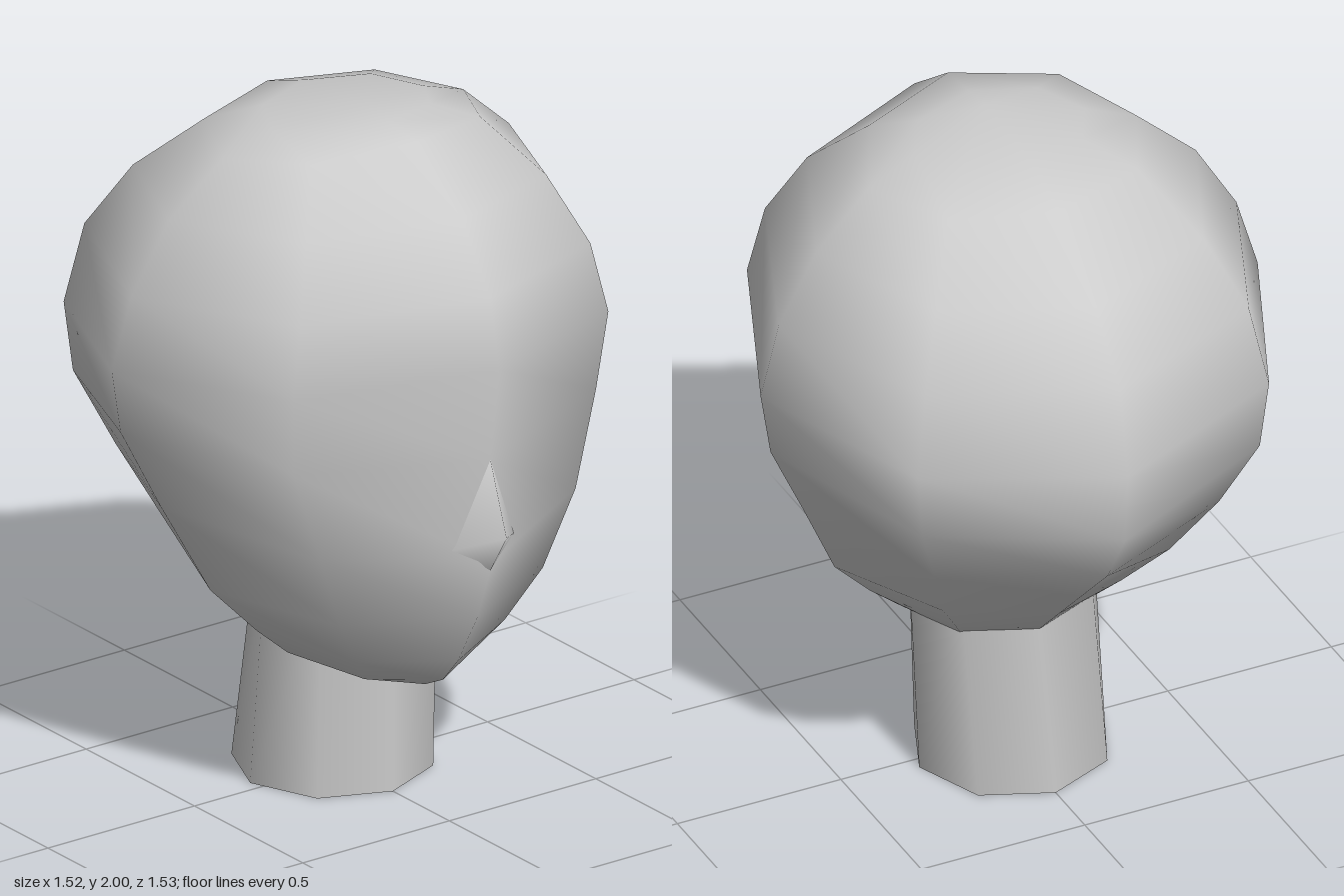
import * as THREE from 'three';

const material = new THREE.MeshStandardMaterial({ color: 0xcccccc });

function meshFrom(name, positions, indices) {
  const geometry = new THREE.BufferGeometry();
  geometry.setAttribute('position', new THREE.Float32BufferAttribute(positions, 3));
  geometry.setIndex(indices);
  geometry.computeVertexNormals();
  const mesh = new THREE.Mesh(geometry, material);
  mesh.name = name;
  return mesh;
}

// Eight-sided rings, top to bottom: front z, y | side x, y, z | back z, y
const RINGS = [
  [0.22, 1.987, 0.26, 1.965, 0.03, -0.17, 1.98],
  [0.35, 1.97, 0.41, 1.91, 0.01, -0.34, 1.92],
  [0.56, 1.81, 0.58, 1.76, -0.01, -0.57, 1.74],
  [0.69, 1.62, 0.70, 1.56, -0.02, -0.72, 1.56],
  [0.73, 1.42, 0.76, 1.35, -0.03, -0.77, 1.30],
  [0.69, 1.14, 0.73, 1.16, -0.03, -0.75, 1.08],
  [0.70, 0.84, 0.615, 0.92, 0.0, -0.64, 0.90],
  [0.63, 0.65, 0.49, 0.66, 0.06, -0.48, 0.74],
  [0.54, 0.49, 0.36, 0.52, 0.10, -0.34, 0.60],
  [0.47, 0.41, 0.27, 0.44, 0.12, -0.22, 0.48],
  [0.39, 0.37, 0.13, 0.40, 0.14, -0.08, 0.45],
];
const SIDES = 8;

function buildHead() {
  const positions = [];
  const indices = [];
  for (const [frontZ, frontY, sideX, sideY, sideZ, backZ, backY] of RINGS) {
    for (let j = 0; j < SIDES; j++) {
      const angle = (j / SIDES) * Math.PI * 2;
      const c = Math.cos(angle);
      const endZ = c > 0 ? frontZ : backZ;
      const endY = c > 0 ? frontY : backY;
      positions.push(
        Math.sin(angle) * sideX,
        sideY + (endY - sideY) * c * c,
        sideZ + (endZ - sideZ) * Math.abs(c),
      );
    }
  }
  const crown = RINGS.length * SIDES;
  const base = crown + 1;
  positions.push(0, 2, 0.12, 0, 0.39, 0.16);
  const last = (RINGS.length - 1) * SIDES;
  for (let j = 0; j < SIDES; j++) {
    const k = (j + 1) % SIDES;
    indices.push(crown, j, k, base, last + k, last + j);
    for (let i = 0; i < last; i += SIDES) {
      indices.push(i + j, i + SIDES + j, i + SIDES + k, i + j, i + SIDES + k, i + k);
    }
  }
  return meshFrom('head', positions, indices);
}

// Small pointed nose, its base sunk into the face
function buildNose() {
  return meshFrom('nose', [
    0, 0.93, 0.765,
    0, 1.14, 0.69,
    -0.11, 0.88, 0.648,
    0, 0.81, 0.69,
    0.11, 0.88, 0.648,
  ], [0, 1, 2, 0, 2, 3, 0, 3, 4, 0, 4, 1]);
}

// Neck with an upright front and a back that leans forward
function buildNeck() {
  const height = 0.6;
  const geometry = new THREE.CylinderGeometry(0.28, 0.28, height, SIDES);
  geometry.translate(0, height / 2, 0);
  const p = geometry.attributes.position;
  for (let i = 0; i < p.count; i++) {
    const depth = 1 - 0.22 * (p.getY(i) / height);
    p.setZ(i, 0.24 + (p.getZ(i) - 0.28) * depth);
  }
  const mesh = new THREE.Mesh(geometry, material);
  mesh.name = 'neck';
  return mesh;
}

export function createModel() {
  const model = new THREE.Group();
  model.name = 'mannequinHead';
  model.add(buildHead(), buildNose(), buildNeck());
  return model;
}
